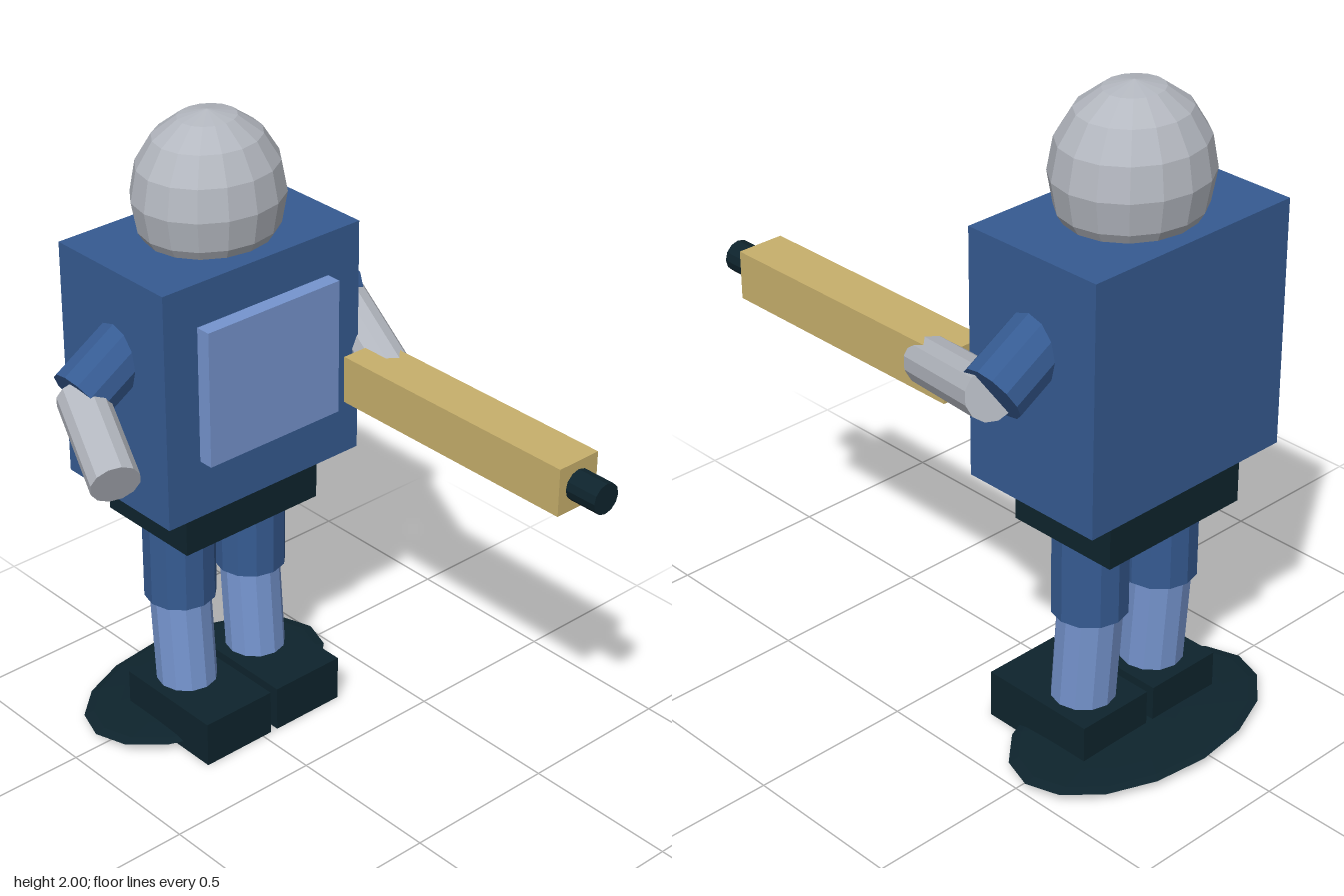
import * as THREE from 'three';

const mat = (name, color) => {
  const m = new THREE.MeshStandardMaterial({ color, flatShading: true });
  m.name = name;
  return m;
};

export function createModel() {
  const blue = mat('uniform blue', 0x365b92);
  const lightBlue = mat('light blue', 0x7695cf);
  const grey = mat('pale grey', 0xb4b8c0);
  const dark = mat('dark slate', 0x0e242d);
  const tan = mat('tan', 0xc8b06c);

  const CX = 0.045; // body centre line
  const CZ = -0.465;
  const model = new THREE.Group();
  model.name = 'figure';

  const add = (name, geometry, material) => {
    const mesh = new THREE.Mesh(geometry, material);
    mesh.name = name;
    model.add(mesh);
    return mesh;
  };

  // Box given by its lower and upper corners
  const box = (name, a, b, material) =>
    add(name, new THREE.BoxGeometry(b[0] - a[0], b[1] - a[1], b[2] - a[2]), material)
      .position.set((a[0] + b[0]) / 2, (a[1] + b[1]) / 2, (a[2] + b[2]) / 2);

  // Cylinder running between two points
  const limb = (name, from, to, radius, material) => {
    const a = new THREE.Vector3(...from);
    const dir = new THREE.Vector3(...to).sub(a);
    const mesh = add(name, new THREE.CylinderGeometry(radius, radius, dir.length(), 12), material);
    mesh.position.copy(a).addScaledVector(dir, 0.5);
    mesh.quaternion.setFromUnitVectors(new THREE.Vector3(0, 1, 0), dir.normalize());
  };

  // Squashed sphere
  const ball = (name, center, radii, material) => {
    const mesh = add(name, new THREE.SphereGeometry(1, 16, 8).scale(...radii), material);
    mesh.position.set(...center);
  };

  // Body and head
  box('torso', [-0.32, 0.875, -0.695], [0.41, 1.625, -0.23], blue);
  box('chestPanel', [-0.2, 1.06, -0.24], [0.29, 1.49, -0.182], lightBlue);
  box('hips', [-0.21, 0.715, -0.655], [0.3, 0.88, -0.29], dark);
  ball('head', [CX, 1.75, CZ], [0.235, 0.25, 0.213], grey);

  // Legs, feet and upper arms, mirrored about the body centre
  for (const [side, s] of [['right', -1], ['left', 1]]) {
    const x = CX + s * 0.14;
    limb(side + 'Thigh', [x, 0.455, -0.47], [x, 0.73, -0.47], 0.112, blue);
    limb(side + 'Shin', [x, 0.13, -0.448], [x, 0.465, -0.472], 0.095, lightBlue);
    const f = CX + s * 0.14;
    box(side + 'Foot', [f - 0.127, 0.005, -0.58], [f + 0.127, 0.155, -0.2], dark);
    limb(side + 'UpperArm', [CX + s * 0.3, 1.383, -0.458], [CX + s * 0.495, 1.268, -0.455], 0.095, blue);
  }

  // Forearms: one hanging forward, one holding the long box
  limb('rightForearm', [-0.44, 1.268, -0.46], [-0.547, 1.147, -0.175], 0.074, grey);
  limb('leftForearm', [0.542, 1.265, -0.452], [0.405, 1.163, -0.06], 0.074, grey);

  // Held device with its muzzle
  box('deviceBody', [0.305, 1.09, -0.175], [0.455, 1.24, 0.69], tan);
  limb('deviceMuzzle', [0.38, 1.165, 0.67], [0.38, 1.165, 0.795], 0.048, dark);

  // Flattened base
  ball('base', [CX, 0.03, -0.527], [0.445, 0.017, 0.268], dark);

  return model;
}
